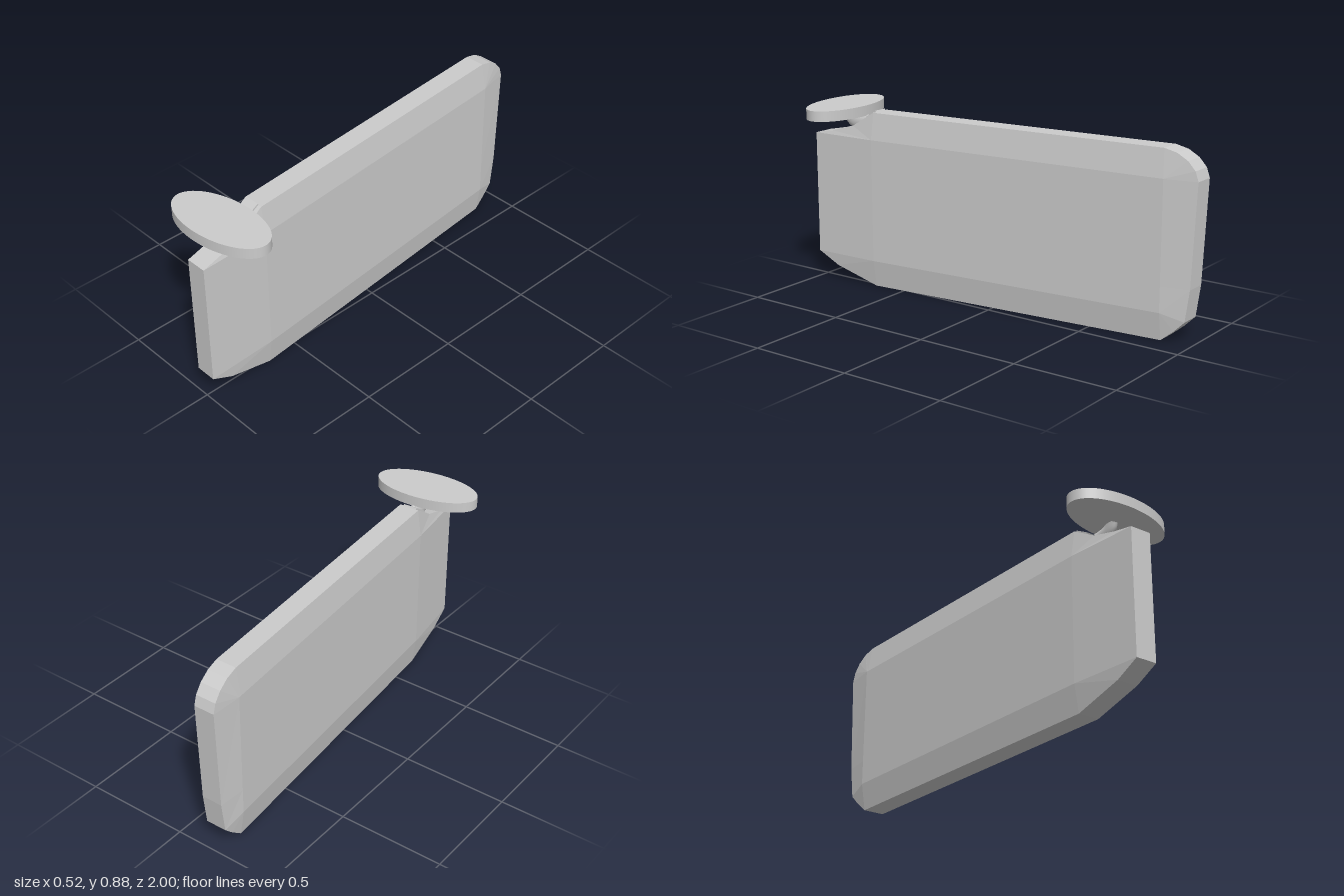
import * as THREE from 'three';

const grey = new THREE.MeshStandardMaterial({ color: 0xcccccc, flatShading: true });
const smoothGrey = new THREE.MeshStandardMaterial({ color: 0xcccccc });

// x of the slab's middle plane, which slants along its length
const midX = (z) => 0.005 + 0.092 * (z - 1);

// Side outline as [z, y], with a notch at the top of the front end
const outline = [
  [1, 0.13], [1, 0.73], [0.9, 0.75], [0.78, 0.785], [0.66, 0.86],
  [-0.84, 0.86], [-0.9, 0.845], [-0.95, 0.815], [-0.985, 0.775], [-1, 0.73],
  [-0.98, 0.25], [-0.96, 0.1], [-0.91, 0.05], [-0.85, 0], [0.66, 0], [0.89, 0.07],
];

// Thick slab: a rim, a shallow bevel on each side and a flat panel
function slabGeometry() {
  const inner = outline.map(([z, y]) => [
    THREE.MathUtils.clamp(z, -0.85, 0.66),
    THREE.MathUtils.clamp(y, 0.13, 0.73),
  ]);
  const ring = (points, offset) =>
    points.map(([z, y]) => new THREE.Vector3(midX(z) + offset, y, z));
  const rings = [ring(inner, -0.07), ring(outline, -0.05), ring(outline, 0.05), ring(inner, 0.07)];
  const positions = [];
  const tri = (a, b, c) => {
    const area = b.clone().sub(a).cross(c.clone().sub(a)).length();
    if (area > 1e-7) positions.push(...a, ...b, ...c);
  };
  const n = outline.length;
  for (let r = 0; r < 3; r++) {
    for (let i = 0; i < n; i++) {
      const j = (i + 1) % n;
      tri(rings[r][i], rings[r + 1][i], rings[r + 1][j]);
      tri(rings[r][i], rings[r + 1][j], rings[r][j]);
    }
  }
  for (let i = 1; i < n - 1; i++) {
    tri(rings[0][0], rings[0][i], rings[0][i + 1]);
    tri(rings[3][0], rings[3][i + 1], rings[3][i]);
  }
  const geometry = new THREE.BufferGeometry();
  geometry.setAttribute('position', new THREE.Float32BufferAttribute(positions, 3));
  geometry.computeVertexNormals();
  return geometry;
}

export function createModel() {
  const model = new THREE.Group();
  const add = (name, geometry, material, x, y, z) => {
    const mesh = new THREE.Mesh(geometry, material);
    mesh.name = name;
    mesh.position.set(x, y, z);
    model.add(mesh);
    return mesh;
  };

  add('slab', slabGeometry(), grey, 0, 0, 0);

  // Oval plate, turned square to the slab
  const plate = add('ovalPlate', new THREE.CylinderGeometry(1, 1, 0.05, 64), smoothGrey, 0, 0.86, 0.853);
  plate.scale.set(0.26, 1, 0.13);
  plate.rotation.y = 0.09;

  // Flattened elbow that carries the plate from the notch
  const bend = new THREE.CatmullRomCurve3([
    new THREE.Vector3(0, 0.845, 0.83),
    new THREE.Vector3(0, 0.815, 0.815),
    new THREE.Vector3(0, 0.8, 0.77),
    new THREE.Vector3(0, 0.8, 0.69),
  ]);
  const stem = add('stem', new THREE.TubeGeometry(bend, 16, 0.04, 16), smoothGrey, -0.008, 0, 0);
  stem.scale.x = 0.5;

  // Small foot where the elbow enters the slab
  const foot = add('stemFoot', new THREE.BoxGeometry(0.07, 0.02, 0.09), grey, -0.03, 0.835, 0.695);
  foot.rotation.x = 0.55;

  return model;
}
